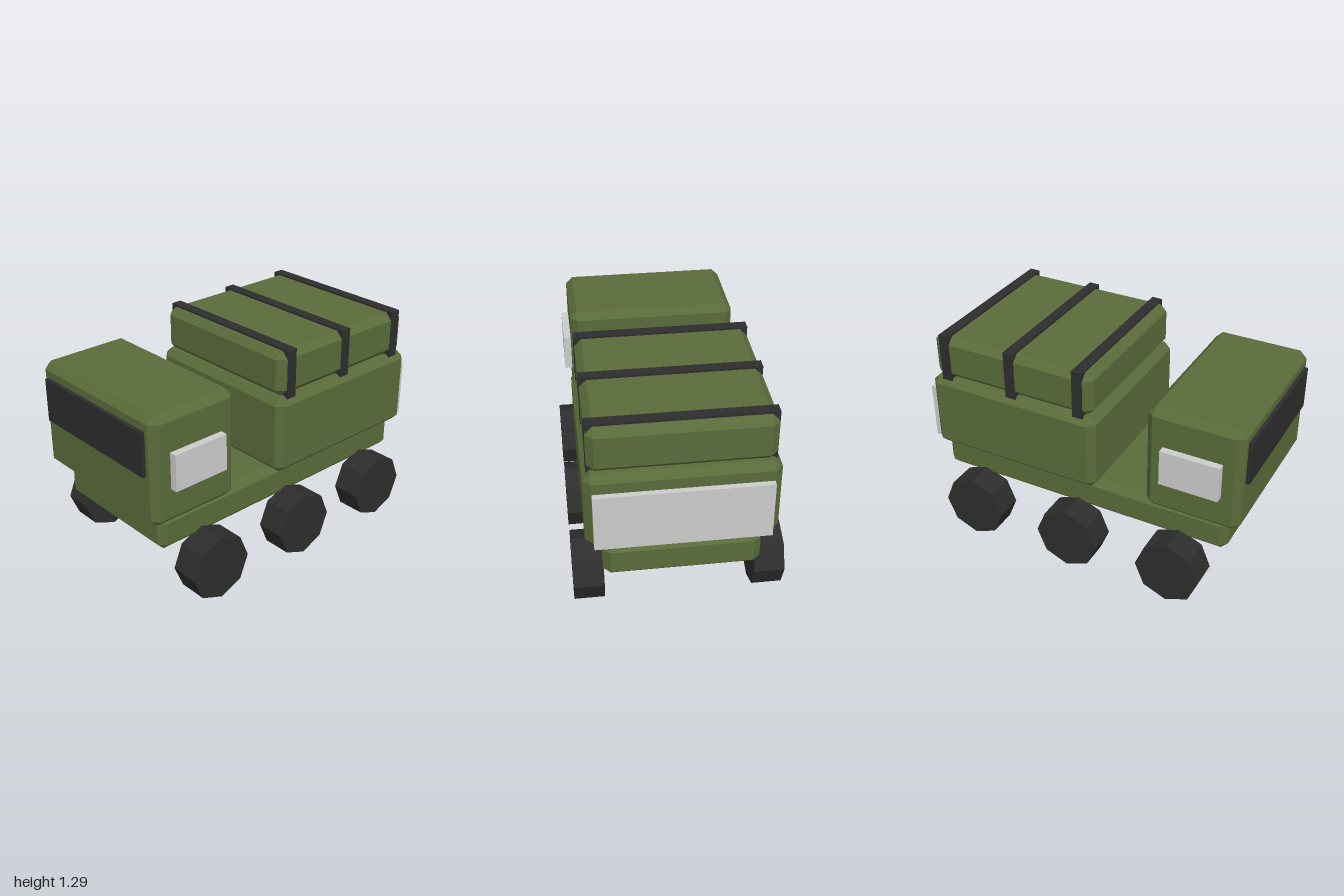
import * as THREE from 'three';
import { ConvexGeometry } from 'three/addons/geometries/ConvexGeometry.js';

const green = new THREE.MeshStandardMaterial({ color: 0x5a6b3a, flatShading: true });
const dark = new THREE.MeshStandardMaterial({ color: 0x2d2d2d, flatShading: true });
const grey = new THREE.MeshStandardMaterial({ color: 0xcccccc, flatShading: true });

// Box with single-facet chamfers on every edge and corner
function chamferBox(w, h, d, c) {
  const points = [];
  for (const sx of [-1, 1]) for (const sy of [-1, 1]) for (const sz of [-1, 1]) {
    for (let axis = 0; axis < 3; axis++) {
      const p = [w / 2 - c, h / 2 - c, d / 2 - c];
      p[axis] += c;
      points.push(new THREE.Vector3(p[0] * sx, p[1] * sy, p[2] * sz));
    }
  }
  return new ConvexGeometry(points);
}

export function createModel() {
  const model = new THREE.Group();
  model.name = 'truck';

  // Places a plain or chamfered box by its x, y and z ranges
  function block(name, material, [x0, x1], [y0, y1], [z0, z1], chamfer = 0) {
    const size = [x1 - x0, y1 - y0, z1 - z0];
    const geometry = chamfer ? chamferBox(...size, chamfer) : new THREE.BoxGeometry(...size);
    const mesh = new THREE.Mesh(geometry, material);
    mesh.name = name;
    mesh.position.set((x0 + x1) / 2, (y0 + y1) / 2, (z0 + z1) / 2);
    model.add(mesh);
  }

  // Body
  block('chassis', green, [-0.43, 0.43], [0.33, 0.545], [-0.965, 0.892], 0.041);
  block('cab', green, [-0.497, 0.497], [0.545, 1.19], [0.418, 0.978], 0.041);
  block('cargoBed', green, [-0.519, 0.519], [0.545, 1.013], [-0.967, 0.112], 0.041);
  block('cargoCover', green, [-0.494, 0.494], [1.013, 1.278], [-0.942, 0.09], 0.041);

  // Straps over the cargo cover
  for (const z of [0.006, -0.427, -0.859]) {
    block('strap', dark, [-0.497, 0.497], [1.0, 1.289], [z - 0.032, z + 0.032]);
  }

  // Windows and tailgate
  block('windshield', dark, [-0.432, 0.432], [0.848, 1.105], [0.96, 1.0]);
  block('tailgate', grey, [-0.475, 0.475], [0.568, 0.91], [-1.0, -0.95]);
  block('leftWindow', grey, [0.48, 0.54], [0.76, 0.975], [0.525, 0.87]);
  block('rightWindow', grey, [-0.54, -0.48], [0.76, 0.975], [0.525, 0.87]);

  // Three pairs of octagonal wheels
  const wheelGeometry = new THREE.CylinderGeometry(0.195, 0.195, 0.172, 8).rotateZ(Math.PI / 2);
  for (const z of [0.612, -0.036, -0.685]) {
    for (const side of [-1, 1]) {
      const wheel = new THREE.Mesh(wheelGeometry, dark);
      wheel.name = side > 0 ? 'leftWheel' : 'rightWheel';
      wheel.position.set(side * 0.508, 0.195, z);
      model.add(wheel);
    }
  }

  return model;
}
